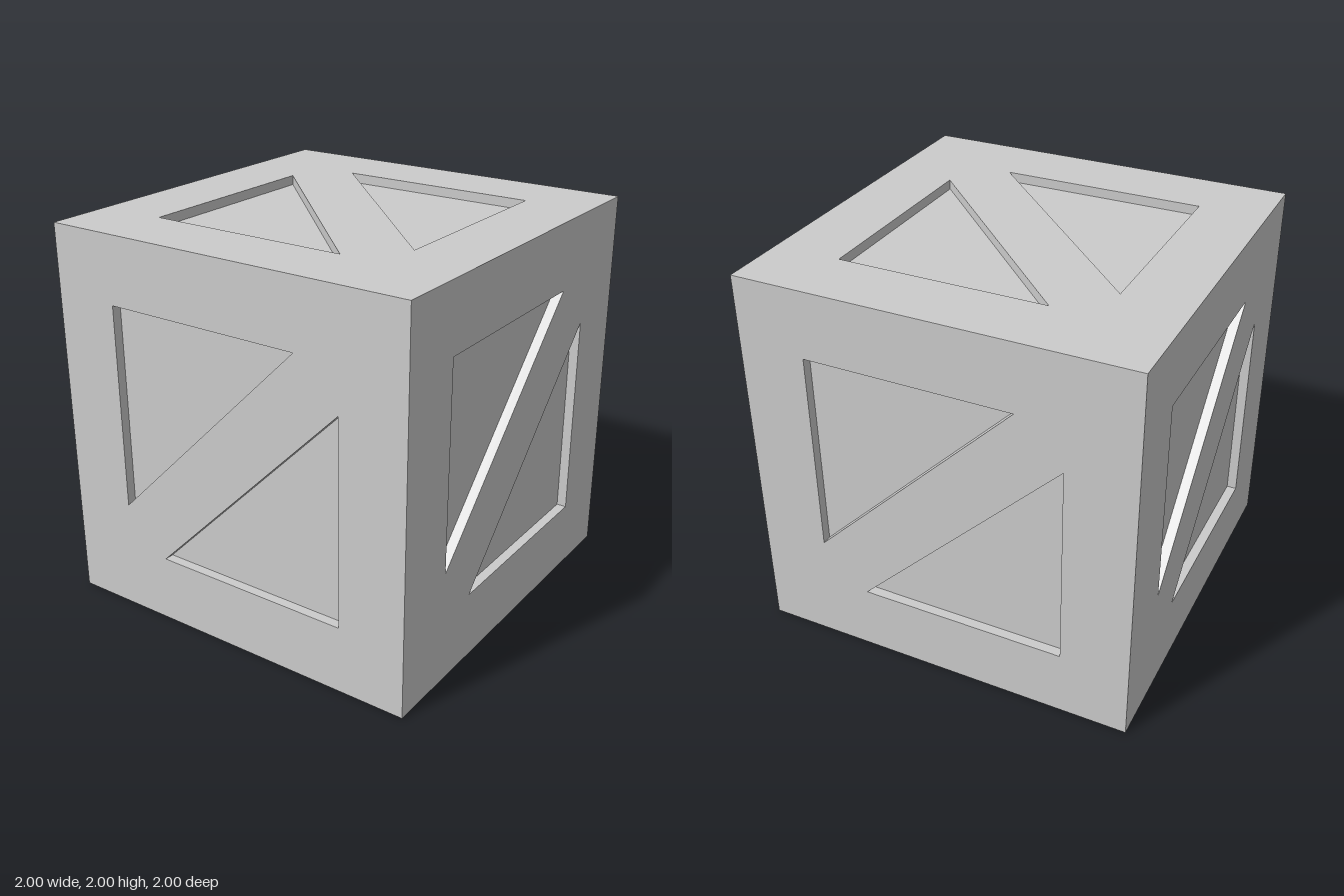
import * as THREE from 'three';
import { mergeGeometries } from 'three/addons/utils/BufferGeometryUtils.js';

const HALF = 1, INSET = 0.65, TIP = 0.415, DEPTH = 0.05;

// Two right triangles separated by a diagonal brace (counter-clockwise)
const upper = [[-INSET, INSET], [-INSET, -TIP], [TIP, INSET]].map(([x, y]) => new THREE.Vector2(x, y));
const lower = upper.map(p => p.clone().negate());
const recesses = [upper, lower];

// Side walls of one recess, facing into it
function recessWalls(points) {
  const walls = points.map((a, i) => {
    const b = points[(i + 1) % points.length];
    const wall = new THREE.PlaneGeometry(1, 1);
    wall.setAttribute('position', new THREE.Float32BufferAttribute([
      b.x, b.y, HALF, a.x, a.y, HALF,
      b.x, b.y, HALF - DEPTH, a.x, a.y, HALF - DEPTH
    ], 3));
    // Plane corner order is top-left, top-right, bottom-left, bottom-right
    wall.setIndex([1, 0, 2, 1, 2, 3]);
    wall.computeVertexNormals();
    return wall;
  });
  return mergeGeometries(walls);
}

// One square side with its two sunken triangles, facing +z
function createSideGeometries() {
  const square = new THREE.Shape([[-1, -1], [1, -1], [1, 1], [-1, 1]]
    .map(([x, y]) => new THREE.Vector2(x * HALF, y * HALF)));
  square.holes = recesses.map(points => new THREE.Path([...points].reverse()));
  const floors = recesses.map(points => new THREE.ShapeGeometry(new THREE.Shape(points)));
  return {
    frame: new THREE.ShapeGeometry(square).translate(0, 0, HALF),
    recessWalls: mergeGeometries(recesses.map(recessWalls)),
    recessFloors: mergeGeometries(floors).translate(0, 0, HALF - DEPTH)
  };
}

export function createModel() {
  const model = new THREE.Group();
  model.name = 'crate';
  const material = new THREE.MeshStandardMaterial({ color: 0xcccccc, flatShading: true });
  const geometries = createSideGeometries();
  const quarter = Math.PI / 2;

  // Rotation of each side: tilt about x, turn about y, spin in its own plane
  const sides = {
    frontSide: [0, 0, 0],
    leftSide: [0, quarter, 0],
    backSide: [0, 2 * quarter, 0],
    rightSide: [0, -quarter, 0],
    topSide: [-quarter, 0, quarter],
    bottomSide: [quarter, 0, quarter]
  };
  for (const [name, [x, y, z]] of Object.entries(sides)) {
    const side = new THREE.Group();
    side.name = name;
    side.rotation.set(x, y, z);
    side.position.y = HALF;
    for (const [part, geometry] of Object.entries(geometries)) {
      const mesh = new THREE.Mesh(geometry, material);
      mesh.name = part;
      side.add(mesh);
    }
    model.add(side);
  }
  return model;
}
